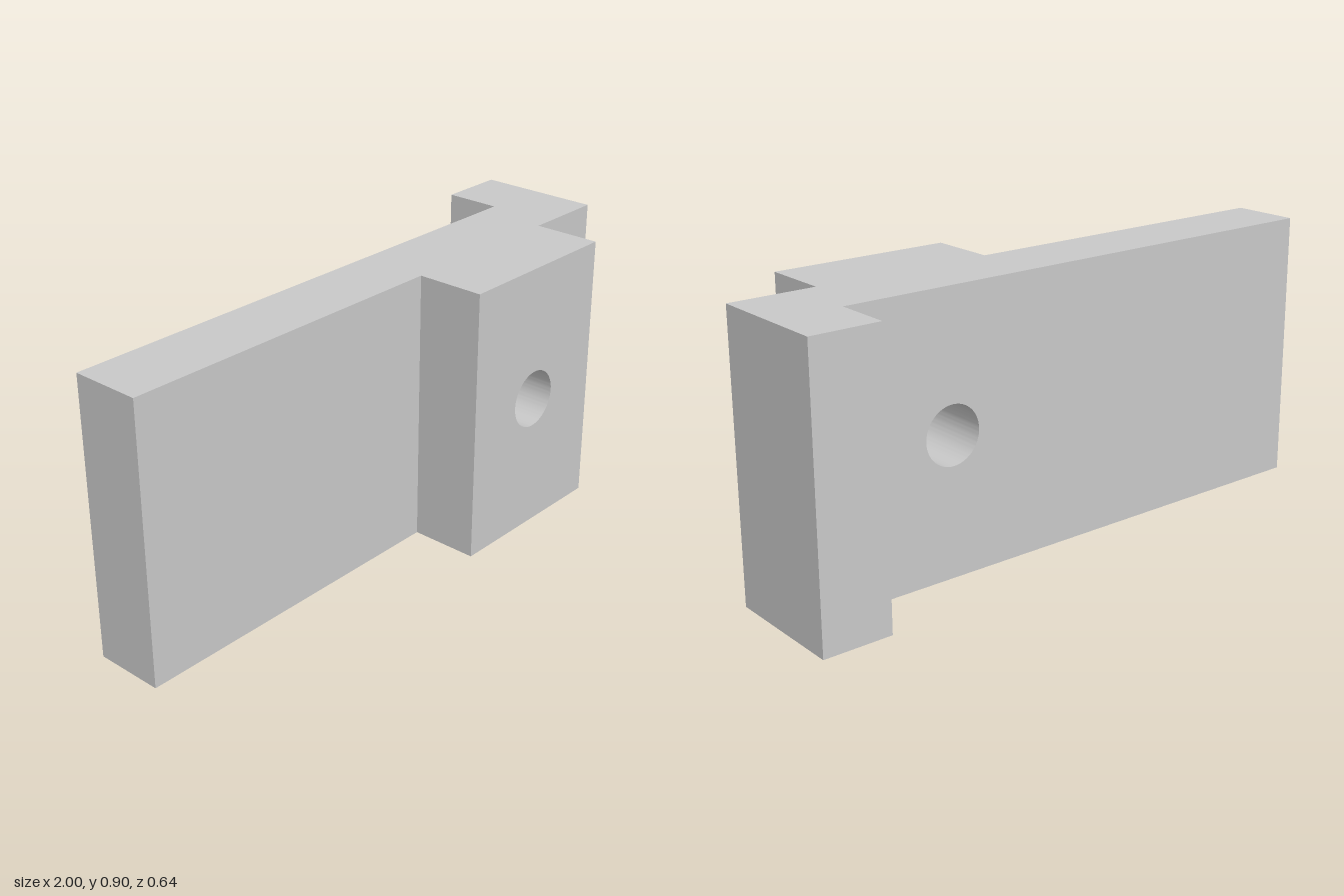
import * as THREE from 'three';
import { toCreasedNormals } from 'three/addons/utils/BufferGeometryUtils.js';

const HEIGHT = 0.897;
const HOLE = { x: 0.421, y: 0.45, r: 0.095 };

export function createModel() {
  const group = new THREE.Group();
  group.name = 'bracket';
  const grey = new THREE.MeshStandardMaterial({ color: 0xc8c8c8 });
  grey.name = 'lightGrey';

  // Full-height slab between two x and two z limits, optionally bored through
  function addSlab(name, x0, x1, z0, z1, bored) {
    const shape = new THREE.Shape([
      new THREE.Vector2(x0, 0), new THREE.Vector2(x1, 0),
      new THREE.Vector2(x1, HEIGHT), new THREE.Vector2(x0, HEIGHT),
    ]);
    if (bored) {
      shape.holes.push(new THREE.Path().absarc(HOLE.x, HOLE.y, HOLE.r, 0, Math.PI * 2, true));
    }
    const geometry = new THREE.ExtrudeGeometry(shape, {
      depth: z1 - z0, bevelEnabled: false, curveSegments: 48,
    });
    geometry.translate(0, 0, z0);
    const mesh = new THREE.Mesh(toCreasedNormals(geometry, Math.PI / 6), grey);
    mesh.name = name;
    group.add(mesh);
  }

  addSlab('plate', -1, 1, -0.132, 0.094, true);
  addSlab('frontBoss', 0.124, 0.719, 0.094, 0.318, true);
  addSlab('rearLip', 0.776, 1, -0.318, -0.132, false);
  return group;
}
